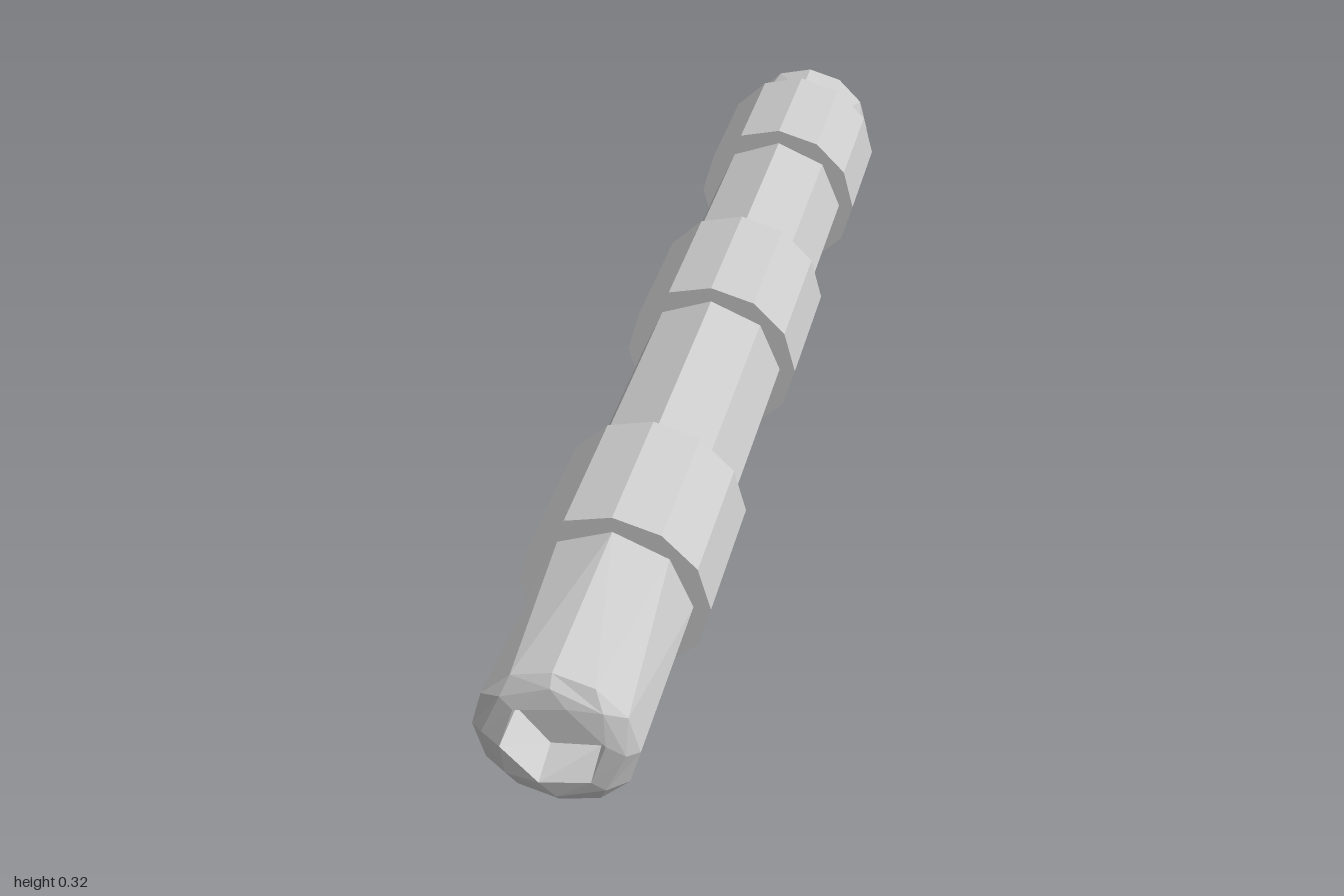
import * as THREE from 'three';

const AXIS_Y = 0.162;
const material = () => new THREE.MeshStandardMaterial({ color: 0xcccccc, flatShading: true });

// Join polygon rings [z, radius, sides, turn in degrees]; neighbours may differ in side count
function loftRings(rings) {
  const positions = [];
  const angle = ([, , sides, turn], i) => turn + (360 / sides) * i;
  const corner = (ring, i) => {
    const a = THREE.MathUtils.degToRad(angle(ring, i));
    return [Math.cos(a) * ring[1], Math.sin(a) * ring[1], ring[0]];
  };
  for (let k = 0; k < rings.length - 1; k++) {
    const a = rings[k], b = rings[k + 1];
    let i = 0, j = 0;
    while (i < a[2] || j < b[2]) {
      const stepA = j >= b[2] || (i < a[2] && angle(a, i + 1) < angle(b, j + 1));
      const third = stepA ? corner(a, i + 1) : corner(b, j + 1);
      const flat = (stepA ? a : b)[1] === 0; // skip slivers at a centre point
      if (!flat) positions.push(...corner(a, i), ...corner(b, j), ...third);
      if (stepA) i++; else j++;
    }
  }
  const geometry = new THREE.BufferGeometry();
  geometry.setAttribute('position', new THREE.Float32BufferAttribute(positions, 3));
  geometry.computeVertexNormals();
  return geometry;
}

export function createModel() {
  const group = new THREE.Group();

  // Rod: hexagonal socket in front, twelve-sided tips, octagonal shaft
  const rod = new THREE.Mesh(loftRings([
    [0.92, 0, 1, 9],
    [0.92, 0.083, 6, 9],
    [1, 0.086, 6, 13],
    [0.994, 0.113, 8, 0],
    [0.98, 0.132, 12, 0],
    [0.65, 0.132, 8, 0],
    [-0.88, 0.132, 8, 0],
    [-0.98, 0.132, 12, 0],
    [-1, 0.112, 8, 0],
    [-1, 0, 1, 0],
  ]), material());
  rod.name = 'rod';
  rod.position.y = AXIS_Y;
  group.add(rod);

  // Three twelve-sided collars: [name, front z, back z]
  for (const [name, front, back] of [
    ['frontCollar', 0.65, 0.39],
    ['middleCollar', -0.03, -0.29],
    ['backCollar', -0.64, -0.88],
  ]) {
    const geometry = new THREE.CylinderGeometry(0.161, 0.161, front - back, 12).rotateX(Math.PI / 2);
    const collar = new THREE.Mesh(geometry, material());
    collar.name = name;
    collar.position.set(0, AXIS_Y, (front + back) / 2);
    group.add(collar);
  }
  return group;
}
